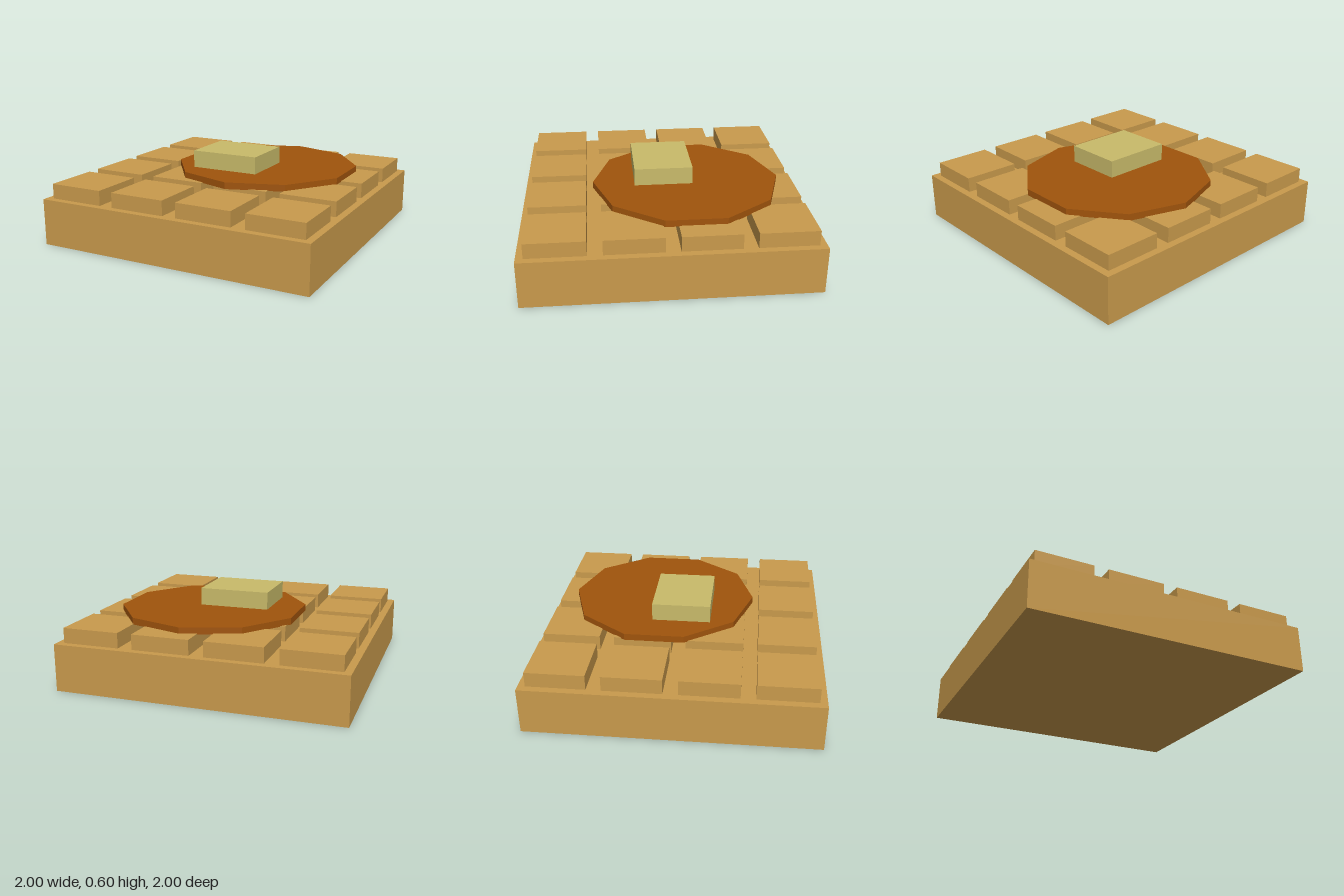
import * as THREE from 'three';

export function createModel() {
  const group = new THREE.Group();
  const waffle = new THREE.MeshStandardMaterial({ name: 'waffle', color: 0xc99a4c, flatShading: true });
  const syrup = new THREE.MeshStandardMaterial({ name: 'syrup', color: 0xa0540c, flatShading: true });
  const butter = new THREE.MeshStandardMaterial({ name: 'butter', color: 0xc9bb6a, flatShading: true });

  // Adds a mesh centred on x, z and spanning y0 upwards
  function add(name, geometry, material, x, y0, z, height) {
    const mesh = new THREE.Mesh(geometry, material);
    mesh.name = name;
    mesh.position.set(x, y0 + height / 2, z);
    group.add(mesh);
  }

  // Square slab
  add('waffleBase', new THREE.BoxGeometry(2, 0.33, 2), waffle, 0, 0, 0, 0.33);

  // Four by four raised pads
  const pad = new THREE.BoxGeometry(0.4, 0.105, 0.4);
  for (let row = 0; row < 4; row++) {
    for (let col = 0; col < 4; col++) {
      add('wafflePad', pad, waffle, -0.75 + col * 0.5, 0.33, -0.75 + row * 0.5, 0.105);
    }
  }

  // Ten-sided syrup puddle, off centre
  add('syrupPuddle', new THREE.CylinderGeometry(0.667, 0.667, 0.047, 10), syrup, 0.165, 0.43, -0.167, 0.047);

  // Butter pat sunk through the syrup
  add('butterPat', new THREE.BoxGeometry(0.5, 0.2, 0.412), butter, 0, 0.4, 0, 0.2);

  return group;
}
